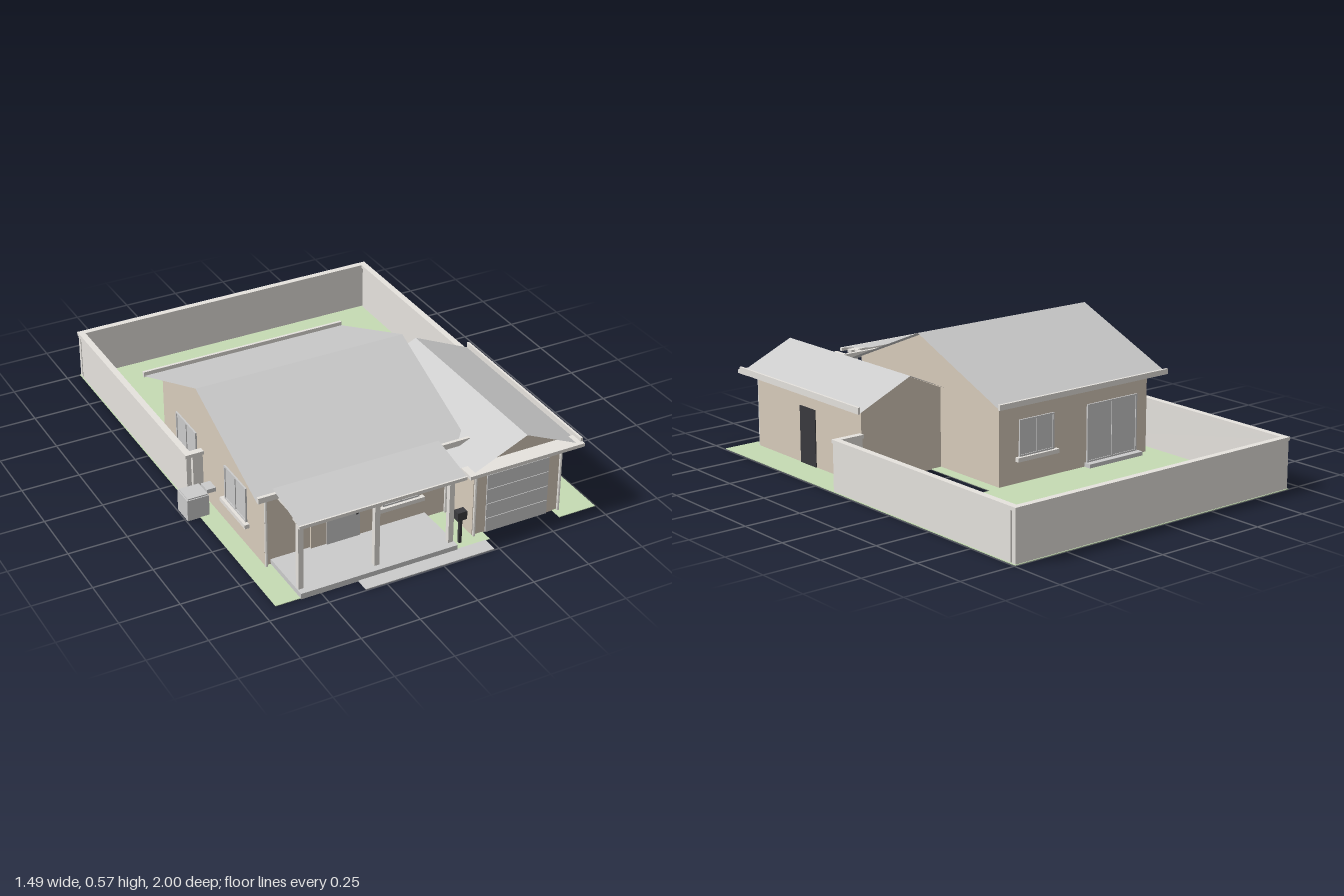
import * as THREE from 'three';

const mat = (color, side = THREE.FrontSide) => new THREE.MeshStandardMaterial({ color, side, flatShading: true });

export function createModel() {
  const root = new THREE.Group();
  const grey = mat(0xcccccc), wallMat = mat(0xd8ccbc), trim = mat(0xe6e3de);
  const dark = mat(0x3a3a3e), grass = mat(0xc6dcb4), lampMat = mat(0xe8cfa0);
  const roofMat = mat(0xcccccc, THREE.DoubleSide);

  const add = (name, geo, m, parent = root) => {
    const mesh = new THREE.Mesh(geo, m);
    mesh.name = name;
    parent.add(mesh);
    return mesh;
  };
  // box given by its minimum and maximum on each axis
  const box = (name, x0, x1, y0, y1, z0, z1, m = grey, parent = root) => {
    const g = new THREE.BoxGeometry(x1 - x0, y1 - y0, z1 - z0);
    g.translate((x0 + x1) / 2, (y0 + y1) / 2, (z0 + z1) / 2);
    return add(name, g, m, parent);
  };
  // thin sheet through four corners
  const sheet = (name, a, b, c, d, m = roofMat) => {
    const g = new THREE.BufferGeometry();
    g.setAttribute('position', new THREE.Float32BufferAttribute([a, b, c, a, c, d].flat(), 3));
    g.computeVertexNormals();
    return add(name, g, m);
  };
  // gabled outline: from u0 to u1, eaves at height e, ridge at height r
  const gable = (u0, u1, e, r, depth) => {
    const s = new THREE.Shape();
    s.moveTo(u0, 0);
    [[u1, 0], [u1, e], [(u0 + u1) / 2, r], [u0, e]].forEach(p => s.lineTo(...p));
    return new THREE.ExtrudeGeometry(s, { depth, bevelEnabled: false });
  };
  const group = name => {
    const g = new THREE.Group();
    g.name = name;
    root.add(g);
    return g;
  };

  // lawn, left open beneath the garage and the side yard
  const lawn = group('lawn');
  box('mainLawn', -0.69, 0.25, 0, 0.003, -1, 0.93, grass, lawn);
  box('backLawn', 0.25, 0.575, 0, 0.003, -1, -0.255, grass, lawn);
  box('sideLawn', 0.575, 0.745, 0, 0.003, -1, 0.93, grass, lawn);
  box('frontPath', -0.34, 0.23, 0, 0.004, 0.93, 0.997);

  // garden wall with capping
  const fence = group('gardenWall');
  [
    [-0.69, 0.745, -1, -0.972],
    [-0.69, -0.662, -0.972, 0.14],
    [0.717, 0.745, -0.972, 0.14],
    [-0.662, -0.61, 0.112, 0.14],
    [0.605, 0.717, 0.112, 0.14],
  ].forEach(([x0, x1, z0, z1]) => {
    box('wallRun', x0 + 0.004, x1 - 0.004, 0, 0.207, z0 + 0.004, z1 - 0.004, trim, fence);
    box('wallCap', x0, x1, 0.205, 0.22, z0, z1, trim, fence);
  });
  [[-0.68, 0.13], [0.735, 0.13], [-0.68, -0.99], [0.735, -0.99]].forEach(([x, z]) =>
    box('wallCorner', x - 0.006, x + 0.006, 0, 0.206, z - 0.006, z + 0.006, trim, fence));

  // main house body, gable ends facing left and right
  const body = gable(-0.25, 0.68, 0.373, 0.564, 0.81);
  body.rotateY(-Math.PI / 2);
  body.translate(0.2, 0, 0);
  add('houseBody', body, wallMat);
  sheet('frontRoof', [-0.67, 0.567, 0.215], [-0.67, 0.348, 0.745], [0.25, 0.348, 0.745], [0.25, 0.567, 0.215]);
  sheet('backRoof', [0.25, 0.567, 0.215], [0.25, 0.348, -0.315], [-0.67, 0.348, -0.315], [-0.67, 0.567, 0.215]);
  box('frontGutter', -0.67, 0.25, 0.35, 0.374, 0.742, 0.756, trim);
  box('backGutter', -0.67, 0.25, 0.347, 0.37, -0.315, -0.303, trim);

  // garage shell: gabled front and back, plain side
  const garage = group('garage');
  [[0.855, 'garageFront'], [0.13, 'garageBack']].forEach(([z, n]) =>
    add(n, gable(0.2, 0.605, 0.345, 0.436, 0.02).translate(0, 0, z), wallMat, garage));
  box('garageSide', 0.585, 0.605, 0, 0.345, 0.15, 0.855, wallMat, garage);
  box('garageInnerSide', 0.2, 0.215, 0, 0.345, 0.15, 0.855, wallMat, garage);
  sheet('garageRoofRight', [0.4, 0.438, 0.93], [0.66, 0.322, 0.93], [0.66, 0.322, 0.07], [0.4, 0.438, 0.07]);
  sheet('garageRoofLeft', [0.4, 0.438, 0.07], [0.14, 0.322, 0.07], [0.14, 0.322, 0.93], [0.4, 0.438, 0.93]);
  box('garageGutter', 0.652, 0.662, 0.322, 0.35, 0.07, 0.93, trim);
  box('garageFrontLedge', 0.14, 0.66, 0.32, 0.335, 0.875, 0.948, trim);

  // garage door in four panels
  for (let i = 0; i < 4; i++)
    box('garageDoorPanel', 0.26, 0.545, i * 0.0675, i * 0.0675 + 0.063, 0.87, 0.88, grey, garage);
  box('garageDoorBack', 0.26, 0.545, 0, 0.27, 0.87, 0.877, grey, garage);
  box('garageSideDoor', 0.6, 0.609, 0, 0.25, 0.45, 0.56, dark, garage);
  [0.225, 0.57].forEach(x => box('garageLamp', x - 0.008, x + 0.008, 0.292, 0.315, 0.875, 0.89, lampMat));

  // porch
  box('porchSlab', -0.585, 0.1, 0, 0.025, 0.68, 0.935);
  sheet('porchRoof', [-0.6, 0.387, 0.735], [-0.6, 0.345, 0.952], [0.12, 0.345, 0.952], [0.12, 0.387, 0.735]);
  box('porchBeam', -0.59, 0.11, 0.33, 0.346, 0.88, 0.91, trim);
  box('porchGutter', -0.6, 0.12, 0.332, 0.346, 0.94, 0.954, trim);
  [-0.57, -0.243, 0.085].forEach(x => {
    box('porchPost', x - 0.011, x + 0.011, 0.025, 0.332, 0.884, 0.906, trim);
    box('porchRafter', x - 0.008, x + 0.008, 0.33, 0.346, 0.68, 0.88, trim);
  });

  // entry with surround, door and lamp
  box('entrySurround', -0.415, -0.135, 0.025, 0.312, 0.675, 0.69, wallMat);
  box('frontDoor', -0.348, -0.203, 0.025, 0.26, 0.68, 0.696);
  box('doorHandle', -0.222, -0.214, 0.13, 0.15, 0.69, 0.702, dark);
  box('entryLamp', -0.18, -0.163, 0.222, 0.248, 0.69, 0.704, lampMat);

  // two-pane openings built facing +z, then turned onto their wall
  const opening = (name, width, y0, y1, x, z, turn, sill = true) => {
    const g = group(name), h = width / 2, t = 0.007;
    box('pane', -h, h, y0, y1, -0.004, 0.003, grey, g);
    [-h, -t / 2, h - t].forEach(u => box('frameUpright', u, u + t, y0, y1, 0, 0.007, grey, g));
    [y0, y1 - t].forEach(v => box('frameRail', -h, h, v, v + t, 0, 0.007, grey, g));
    if (sill) box('sill', -h - 0.018, h + 0.018, y0 - 0.018, y0, -0.004, 0.02, trim, g);
    g.position.set(x, 0, z);
    g.rotation.y = turn;
  };
  opening('frontWindow', 0.165, 0.115, 0.27, -0.013, 0.68, 0);
  opening('backWindow', 0.185, 0.115, 0.27, 0.005, -0.25, Math.PI);
  opening('patioDoor', 0.28, 0.02, 0.27, -0.41, -0.25, Math.PI, false);
  box('patioStep', -0.56, -0.26, 0, 0.02, -0.285, -0.25);
  opening('sideWindowBack', 0.19, 0.115, 0.27, -0.61, -0.02, -Math.PI / 2);
  opening('sideWindowFront', 0.19, 0.115, 0.27, -0.61, 0.435, -Math.PI / 2);

  // downpipes
  [[-0.607, 0.687], [0.19, 0.687], [0.205, 0.882], [0.597, 0.882]].forEach(([x, z]) => {
    const pipe = new THREE.CylinderGeometry(0.006, 0.006, 0.345, 8);
    add('downpipe', pipe.translate(x, 0.1725, z), trim);
  });

  // utility box by the left wall
  box('utilityBox', -0.745, -0.65, 0, 0.095, 0.17, 0.265);
  box('utilityLid', -0.74, -0.655, 0.095, 0.1, 0.175, 0.26);
  box('utilityMount', -0.65, -0.61, 0.09, 0.108, 0.19, 0.245);

  // mailbox on its post
  box('mailboxPost', 0.127, 0.139, 0, 0.12, 0.888, 0.9, dark);
  box('mailbox', 0.112, 0.154, 0.115, 0.152, 0.878, 0.91, dark);

  return root;
}
